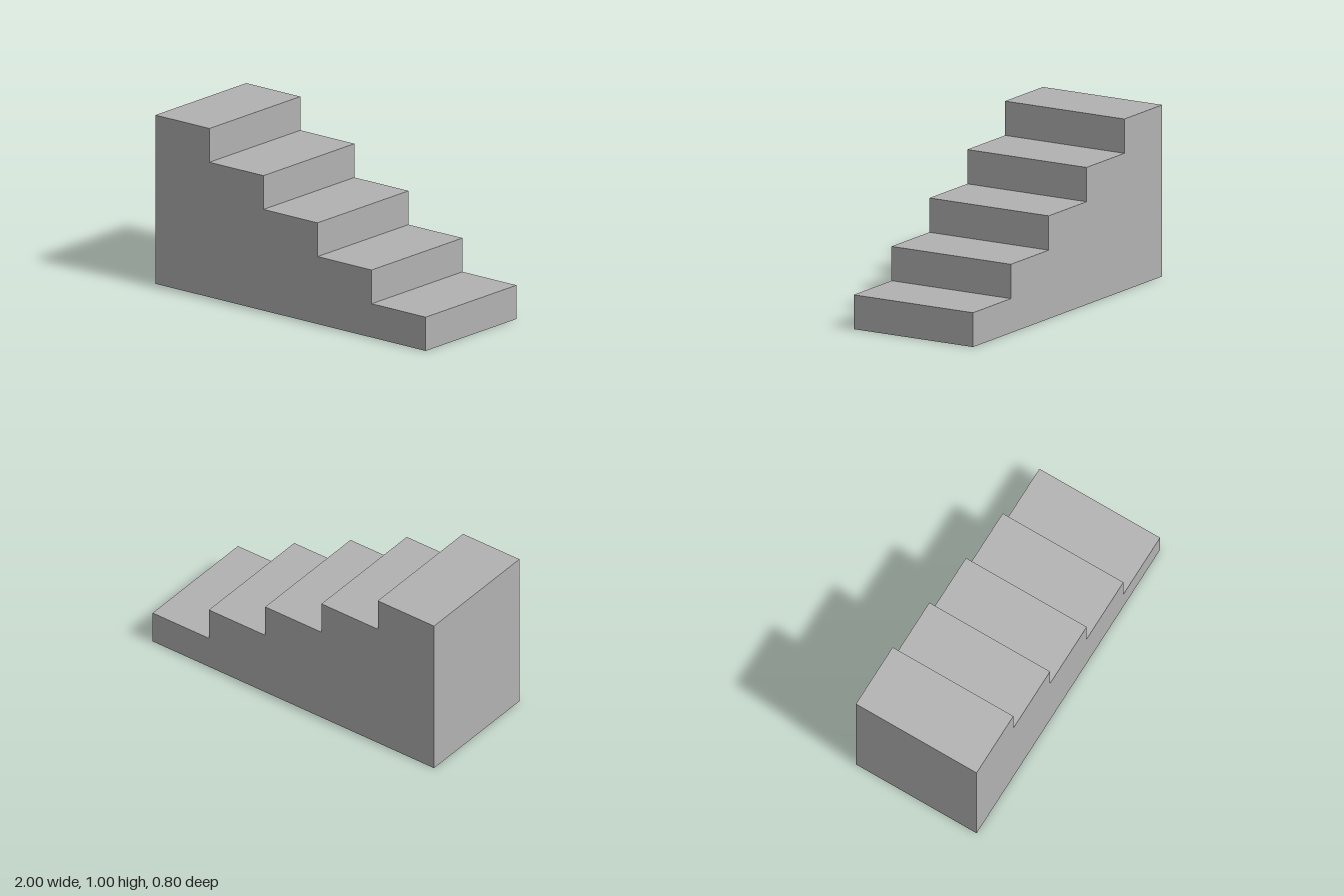
import * as THREE from 'three';

const STEPS = 5;
const RUN = 0.4;
const RISE = 0.2;
const DEPTH = 0.8;

export function createModel() {
  const group = new THREE.Group();
  group.name = 'staircase';

  const grey = new THREE.MeshStandardMaterial({ color: 0xb2b2b2 });
  grey.name = 'grey';

  // Stepped side profile, lowest step on the +x side
  const profile = new THREE.Shape();
  profile.moveTo(-1, 0);
  profile.lineTo(1, 0);
  for (let i = 0; i < STEPS; i++) {
    const y = (i + 1) * RISE;
    profile.lineTo(1 - i * RUN, y);
    profile.lineTo(1 - (i + 1) * RUN, y);
  }
  profile.closePath();

  // One solid block of steps, centred in depth
  const geometry = new THREE.ExtrudeGeometry(profile, { depth: DEPTH, bevelEnabled: false });
  geometry.translate(0, 0, -DEPTH / 2);

  const steps = new THREE.Mesh(geometry, grey);
  steps.name = 'steps';
  group.add(steps);
  return group;
}
